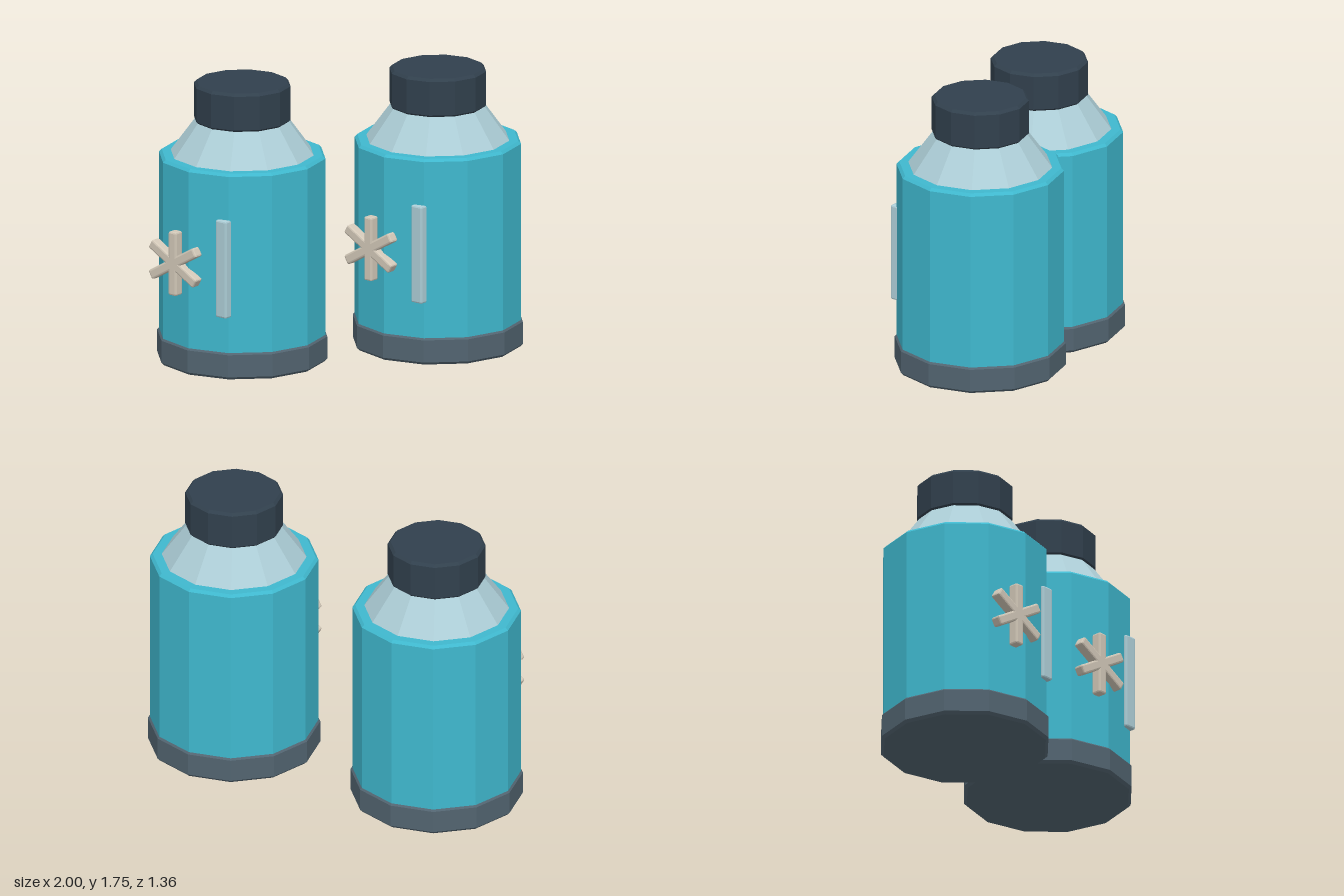
import * as THREE from 'three';
import { RoundedBoxGeometry } from 'three/addons/geometries/RoundedBoxGeometry.js';

const SIDES = 12;

function material(name, color) {
  const m = new THREE.MeshStandardMaterial({ color, flatShading: true });
  m.name = name;
  return m;
}

function mesh(name, geometry, mat) {
  const m = new THREE.Mesh(geometry, mat);
  m.name = name;
  return m;
}

// Twelve-sided drum with chamfered rims
function drum(radius, bottom, top, chamfer = 0.015) {
  return new THREE.LatheGeometry([
    new THREE.Vector2(0, bottom),
    new THREE.Vector2(radius - chamfer, bottom),
    new THREE.Vector2(radius, bottom + chamfer),
    new THREE.Vector2(radius, top - chamfer),
    new THREE.Vector2(radius - chamfer, top),
    new THREE.Vector2(0, top),
  ], SIDES);
}

function bar(width, height, depth) {
  return new RoundedBoxGeometry(width, height, depth, 1, 0.01);
}

function createCanister(mats) {
  const canister = new THREE.Group();

  // Stacked round parts
  canister.add(mesh('base', drum(0.47, 0, 0.155), mats.slate));
  canister.add(mesh('body', drum(0.46, 0.13, 1.16), mats.teal));
  const shoulder = new THREE.CylinderGeometry(0.26, 0.395, 0.185, SIDES);
  shoulder.translate(0, 1.2525, 0);
  canister.add(mesh('shoulder', shoulder, mats.paleBlue));
  canister.add(mesh('cap', drum(0.267, 1.34, 1.56), mats.navy));

  // Six-armed emblem made of three crossed bars
  const emblem = new THREE.Group();
  emblem.name = 'starEmblem';
  emblem.position.set(-0.085, 0.62, 0.47);
  for (let i = 0; i < 3; i++) {
    const arm = mesh('emblemBar', bar(0.055, 0.36, 0.06), mats.cream);
    arm.rotation.z = i * Math.PI / 3;
    emblem.add(arm);
  }
  canister.add(emblem);

  // Upright gauge strip
  const strip = mesh('gaugeStrip', bar(0.075, 0.55, 0.06), mats.paleBlue);
  strip.position.set(0.203, 0.625, 0.403);
  canister.add(strip);

  return canister;
}

export function createModel() {
  const mats = {
    teal: material('teal', 0x3fb8ce),
    slate: material('slate', 0x526470),
    paleBlue: material('paleBlue', 0xadced7),
    navy: material('navy', 0x31404d),
    cream: material('cream', 0xd2c8b8),
  };

  const model = new THREE.Group();
  model.name = 'canisterPair';

  const right = createCanister(mats);
  right.name = 'frontCanister';
  right.position.set(-0.53, 0, 0.18);

  const left = createCanister(mats);
  left.name = 'raisedCanister';
  left.position.set(0.53, 0.187, -0.21);

  model.add(right, left);
  return model;
}
